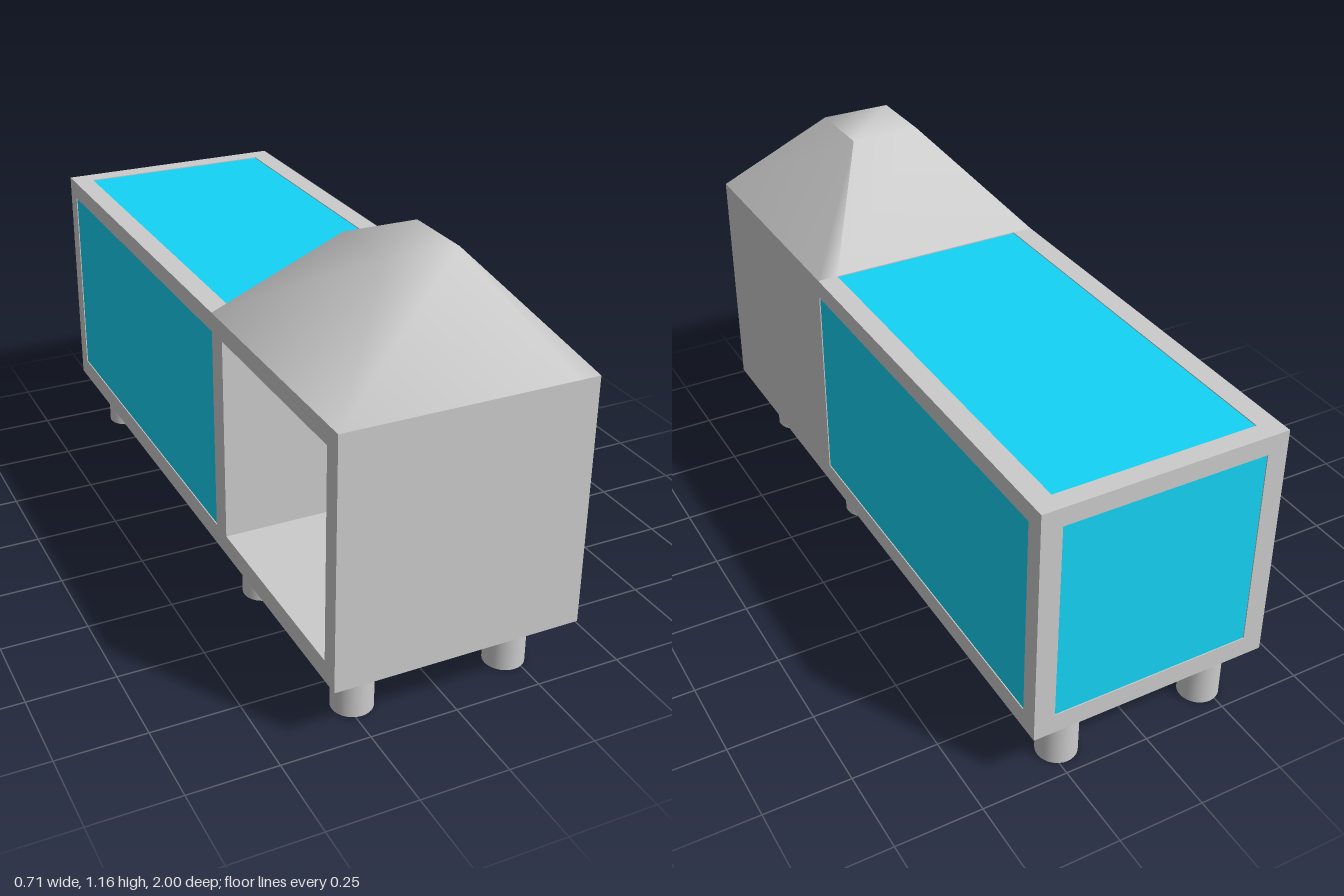
import * as THREE from 'three';

const grey = new THREE.MeshStandardMaterial({ color: 0xcccccc });
const greyDouble = new THREE.MeshStandardMaterial({ color: 0xcccccc, side: THREE.DoubleSide });
const blue = new THREE.MeshStandardMaterial({ color: 0x14d3f5 });

// Body bounds: outer (O) and inner (I) faces of the frame
const OX = 0.355, IX = 0.295;
const Y0 = 0.17, IY0 = 0.23, IY1 = 0.83, Y1 = 0.885;
const IZ = 0.945, MID = 0.25, POST = 0.32;
const INSET = 0.003, GLASS = 0.02;

export function createModel() {
  const model = new THREE.Group();
  model.name = 'coop';

  const add = (name, geometry, material = grey) => {
    const mesh = new THREE.Mesh(geometry, material);
    mesh.name = name;
    model.add(mesh);
    return mesh;
  };

  // Box given by its min and max corners
  const box = (name, [x0, y0, z0], [x1, y1, z1], material) =>
    add(name, new THREE.BoxGeometry(x1 - x0, y1 - y0, z1 - z0), material)
      .position.set((x0 + x1) / 2, (y0 + y1) / 2, (z0 + z1) / 2);

  const rect = (target, z0, y0, z1, y1) =>
    target.moveTo(z0, y0).lineTo(z1, y0).lineTo(z1, y1).lineTo(z0, y1).closePath();

  // Long side walls, drawn in (z, y), with openings cut through
  const sideWall = (name, outerX, openings) => {
    const shape = rect(new THREE.Shape(), -1, Y0, 1, Y1);
    for (const [z0, z1] of openings) shape.holes.push(rect(new THREE.Path(), z0, IY0, z1, IY1));
    const geometry = new THREE.ExtrudeGeometry(shape, { depth: OX - IX, bevelEnabled: false });
    geometry.rotateY(-Math.PI / 2).translate(outerX, 0, 0);
    add(name, geometry);
  };
  sideWall('leftWall', OX, [[-IZ, MID]]);
  sideWall('rightWall', -IX, [[-IZ, MID], [POST, IZ]]);

  // Floor, front wall, partition and top frame between the side walls
  box('floor', [-IX, Y0, -1], [IX, IY0, 1]);
  box('frontWall', [-IX, IY0, IZ], [IX, IY1, 1]);
  box('partition', [-IX, IY0, MID], [IX, IY1, POST]);
  box('topBackRail', [-IX, IY1, -1], [IX, Y1, -IZ]);
  box('houseCeiling', [-IX, IY1, MID], [IX, Y1, 1]);

  // Coloured panels set just inside the frame
  const px = OX - INSET, py = Y1 - INSET, pz = 1 - INSET;
  box('leftPanel', [px - GLASS, IY0, -IZ], [px, IY1, MID], blue);
  box('rightPanel', [-px, IY0, -IZ], [GLASS - px, IY1, MID], blue);
  box('topPanel', [-IX, py - GLASS, -IZ], [IX, py, MID], blue);
  box('backPanel', [-IX, IY0, -pz], [IX, IY1, GLASS - pz], blue);

  // Hipped roof: softly shaded shell plus a separately shaded left slope
  const rx = 0.105, top = 1.165, zf = 0.73, zb = 0.52;
  const points = [
    -OX, Y1, 1, IX, Y1, 1, IX, Y1, MID, -OX, Y1, MID,
    -rx, top, zf, rx, top, zf, rx, top, zb, -rx, top, zb,
    OX, Y1, 1, OX, Y1, MID,
  ];
  const roofPart = (name, faces) => {
    const geometry = new THREE.BufferGeometry();
    geometry.setAttribute('position', new THREE.Float32BufferAttribute(points, 3));
    geometry.setIndex(faces);
    geometry.computeVertexNormals();
    add(name, geometry, greyDouble);
  };
  roofPart('roofShell', [
    0, 1, 5, 0, 5, 4, // front
    2, 3, 7, 2, 7, 6, // back
    3, 0, 4, 3, 4, 7, // right
    4, 5, 6, 4, 6, 7, // top
  ]);
  roofPart('roofLeftSlope', [1, 8, 5, 8, 9, 6, 8, 6, 5, 9, 2, 6]);

  // Six round legs in three pairs
  const legGeometry = new THREE.CylinderGeometry(0.058, 0.058, Y0, 32);
  for (const z of [0.86, 0.29, -0.908]) {
    for (const x of [-0.233, 0.227]) add('leg', legGeometry).position.set(x, Y0 / 2, z);
  }

  return model;
}
